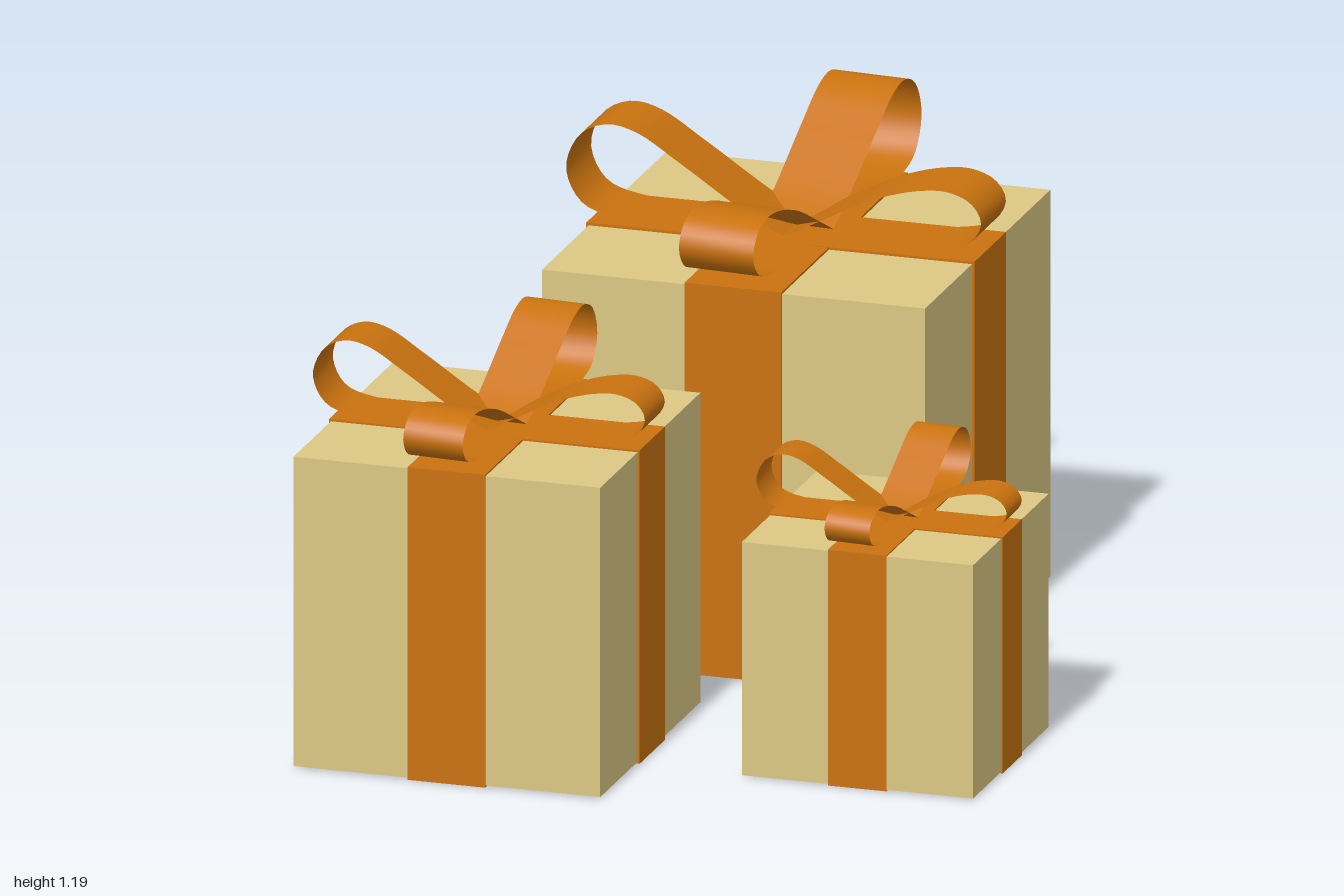
import * as THREE from 'three';

const paper = new THREE.MeshStandardMaterial({ color: 0xdcc884 });
const ribbon = new THREE.MeshStandardMaterial({ color: 0xc9720f });
const bowMaterial = new THREE.MeshStandardMaterial({ color: 0xc9720f, side: THREE.DoubleSide });

// Sizes of the largest gift; the others are scaled copies
const HALF = 0.465, TOP = 0.95, SKIN = 0.006, BAND = 0.235, BOW = 0.185;

// Loop outlines as [distance from the knot, height above the lid]
const TALL = [[0, 0.005], [0.09, 0.053], [0.25, 0.157], [0.36, 0.223], [0.43, 0.235], [0.495, 0.203],
  [0.528, 0.12], [0.49, 0.04], [0.4, 0.01], [0.2, 0.005], [0, 0.004]];
const SHORT = [[0, 0.005], [0.09, 0.053], [0.22, 0.118], [0.33, 0.15], [0.4, 0.153], [0.455, 0.13],
  [0.479, 0.085], [0.45, 0.034], [0.37, 0.01], [0.2, 0.005], [0, 0.004]];

function mesh(name, geometry, material) {
  const m = new THREE.Mesh(geometry, material);
  m.name = name;
  return m;
}

// Thin strip swept along a loop outline; side is -1 or 1 along x
function loopGeometry(points, side) {
  const steps = 60;
  const curve = new THREE.CatmullRomCurve3(points.map(([d, h]) => new THREE.Vector3(side * d, h, 0)));
  const path = curve.getSpacedPoints(steps);
  const geometry = new THREE.PlaneGeometry(1, BOW, steps, 1);
  const pos = geometry.attributes.position;
  for (let i = 0; i < pos.count; i++) {
    const p = path[i % (steps + 1)];
    pos.setXYZ(i, p.x, p.y, (i <= steps ? -side : side) * BOW / 2);
  }
  geometry.computeVertexNormals();
  return geometry;
}

// Closed band around the box: a rectangular frame, extruded to the ribbon width
function bandGeometry(outset) {
  const w = HALF + outset, t = TOP + outset - SKIN;
  const frame = new THREE.Shape([[-w, SKIN - outset], [w, SKIN - outset], [w, t], [-w, t]]
    .map(([x, y]) => new THREE.Vector2(x, y)));
  frame.holes.push(new THREE.Path([[-HALF, SKIN], [-HALF, TOP - SKIN], [HALF, TOP - SKIN], [HALF, SKIN]]
    .map(([x, y]) => new THREE.Vector2(x, y))));
  return new THREE.ExtrudeGeometry(frame, { depth: BAND, bevelEnabled: false }).translate(0, 0, -BAND / 2);
}

function bowPair(name) {
  const pair = new THREE.Group();
  pair.name = name;
  pair.position.y = TOP;
  pair.add(mesh('tallLoop', loopGeometry(TALL, -1), bowMaterial));
  pair.add(mesh('shortLoop', loopGeometry(SHORT, 1), bowMaterial));
  return pair;
}

function gift(name, x, z, scale) {
  const g = new THREE.Group();
  g.name = name;

  // Wrapped box
  const height = TOP - 2 * SKIN;
  g.add(mesh('box', new THREE.BoxGeometry(2 * HALF, height, 2 * HALF).translate(0, TOP / 2, 0), paper));

  // Crossing ribbons
  g.add(mesh('sideRibbon', bandGeometry(SKIN), ribbon));
  const front = mesh('frontRibbon', bandGeometry(SKIN - 0.001), ribbon);
  front.rotation.y = Math.PI / 2;
  g.add(front);

  // Two crossing pairs of bow loops, the second slightly askew
  const across = bowPair('sideBow');
  const along = bowPair('frontBow');
  along.rotation.y = -THREE.MathUtils.degToRad(94);
  along.position.y += 0.002;
  along.scale.x = 1.025;
  g.add(across, along);

  g.position.set(x, 0, z);
  g.scale.setScalar(scale);
  return g;
}

export function createModel() {
  const model = new THREE.Group();
  model.name = 'gifts';
  model.add(
    gift('largeGift', -0.005, -0.453, 1),
    gift('mediumGift', -0.39, 0.59, 0.8),
    gift('smallGift', 0.521, 0.421, 0.603),
  );
  return model;
}
